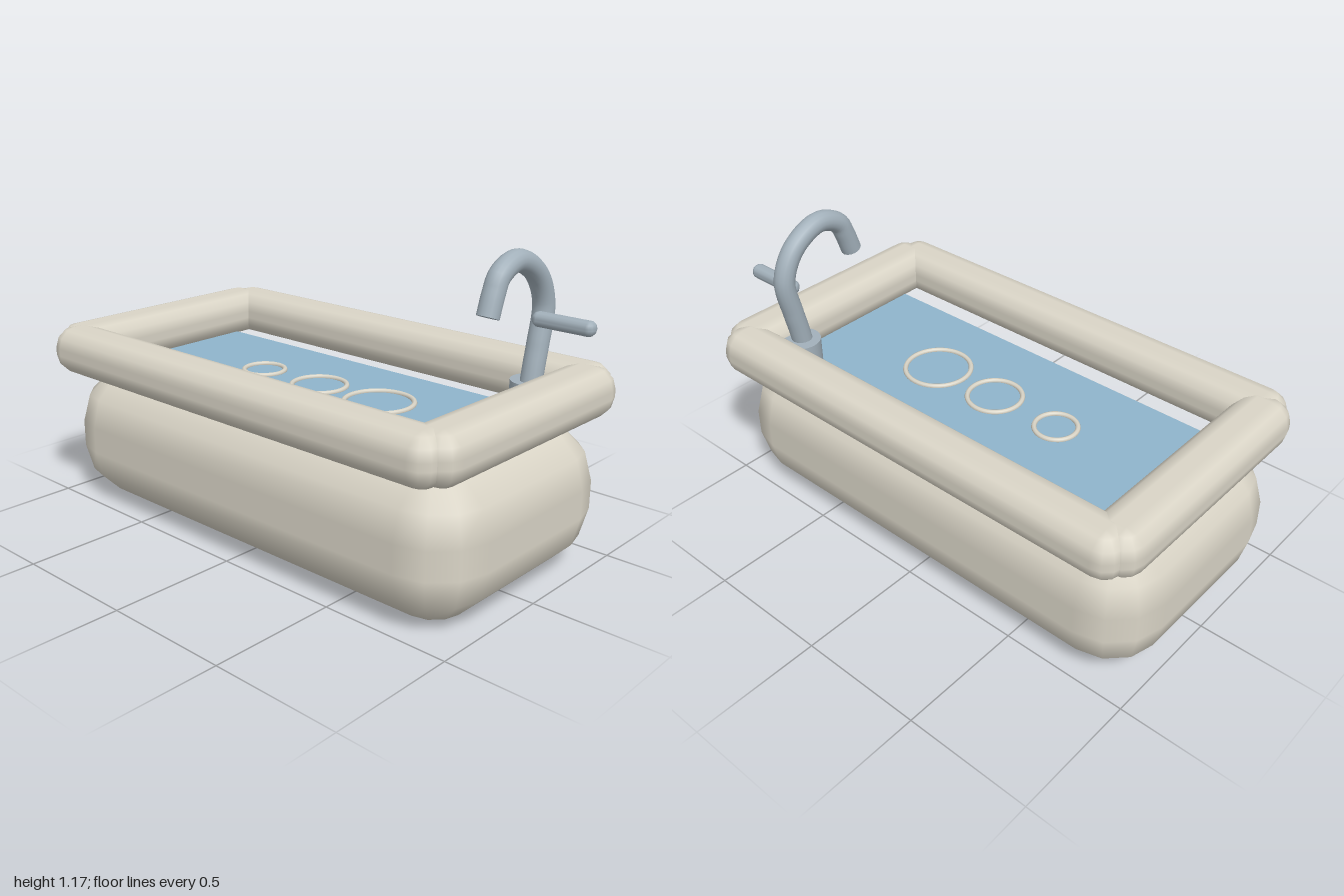
import * as THREE from 'three';

// Rounded box: stacked rounded-rectangle rings with radial normals at the bevels
function roundedBox(w, h, d, r, n = 3) {
  const pos = [], nor = [], idx = [];
  const hx = w / 2 - r, hy = h / 2 - r, hz = d / 2 - r;
  const m = 4 * (n + 1), rows = 2 * (n + 1);
  for (let half = 0; half < 2; half++) {
    for (let i = 0; i <= n; i++) {
      const lat = (half - 1 + i / n) * Math.PI / 2;
      for (let q = 0; q < 4; q++) {
        const sx = q === 0 || q === 3 ? 1 : -1, sz = q < 2 ? 1 : -1;
        for (let j = 0; j <= n; j++) {
          const lon = (q + j / n) * Math.PI / 2;
          const v = [Math.cos(lat) * Math.cos(lon), Math.sin(lat), Math.cos(lat) * Math.sin(lon)];
          nor.push(...v);
          pos.push(sx * hx + r * v[0], (half ? hy : -hy) + r * v[1], sz * hz + r * v[2]);
        }
      }
    }
  }
  for (let a = 0; a < rows - 1; a++) {
    for (let b = 0; b < m; b++) {
      const p = a * m + b, q = a * m + (b + 1) % m;
      idx.push(p, p + m, q, q, p + m, q + m);
    }
  }
  // flat bottom and top
  const k = n + 1, t = (rows - 1) * m;
  idx.push(0, k, 2 * k, 0, 2 * k, 3 * k);
  idx.push(t, t + 2 * k, t + k, t, t + 3 * k, t + 2 * k);
  const g = new THREE.BufferGeometry();
  g.setAttribute('position', new THREE.Float32BufferAttribute(pos, 3));
  g.setAttribute('normal', new THREE.Float32BufferAttribute(nor, 3));
  g.setIndex(idx);
  return g;
}

export function createModel() {
  const model = new THREE.Group();
  const material = (name, color) => {
    const m = new THREE.MeshStandardMaterial({ color });
    m.name = name;
    return m;
  };
  const cream = material('cream', 0xd9d4c6);
  const blue = material('water blue', 0x8fb4cb);
  const metal = material('grey metal', 0xa2b0ba);

  const add = (name, geometry, mat, x = 0, y = 0, z = 0, parent = model) => {
    const mesh = new THREE.Mesh(geometry, mat);
    mesh.name = name;
    mesh.position.set(x, y, z);
    parent.add(mesh);
    return mesh;
  };

  // Tub
  add('tubBody', roundedBox(2, 0.546, 1, 0.22), cream, 0, 0.273, 0);

  // Rim of four padded bars
  for (const s of [1, -1]) {
    add(s > 0 ? 'frontRim' : 'backRim', roundedBox(1.92, 0.188, 0.196, 0.08), cream, 0, 0.639, s * 0.472);
    add(s > 0 ? 'leftRim' : 'rightRim', roundedBox(0.212, 0.188, 1.04, 0.08), cream, s * 0.894, 0.639, 0);
  }

  // Water and floating rings
  add('water', new THREE.BoxGeometry(1.7, 0.02, 0.67), blue, 0, 0.552, 0);
  [0.082, 0.107, 0.131].forEach((radius, i) => {
    const ring = add('bubbleRing', new THREE.TorusGeometry(radius, 0.01, 8, 40), cream, (i - 1) * 0.3, 0.565, 0);
    ring.rotation.x = -Math.PI / 2;
  });

  // Tap
  const tap = new THREE.Group();
  tap.name = 'tap';
  tap.position.set(0.745, 0, 0);
  model.add(tap);
  add('tapBase', new THREE.CylinderGeometry(0.082, 0.082, 0.13, 32), metal, 0, 0.607, -0.324, tap);

  const path = new THREE.CatmullRomCurve3([
    [0.65, -0.31], [0.73, -0.326], [0.8, -0.342], [0.95, -0.366], [1.065, -0.305],
    [1.127, -0.177], [1.09, -0.08], [1.035, -0.05], [0.957, -0.022],
  ].map(([y, z]) => new THREE.Vector3(0, y, z)));
  add('spout', new THREE.TubeGeometry(path, 48, 0.041, 16), metal, 0, 0, 0, tap);
  const end = path.getPoint(1);
  const cap = add('spoutEnd', new THREE.CircleGeometry(0.041, 16), metal, end.x, end.y, end.z, tap);
  cap.quaternion.setFromUnitVectors(new THREE.Vector3(0, 0, 1), path.getTangent(1));

  add('tapHandle', roundedBox(0.246, 0.056, 0.058, 0.025), metal, 0.112, 0.899, -0.322, tap);
  return model;
}
